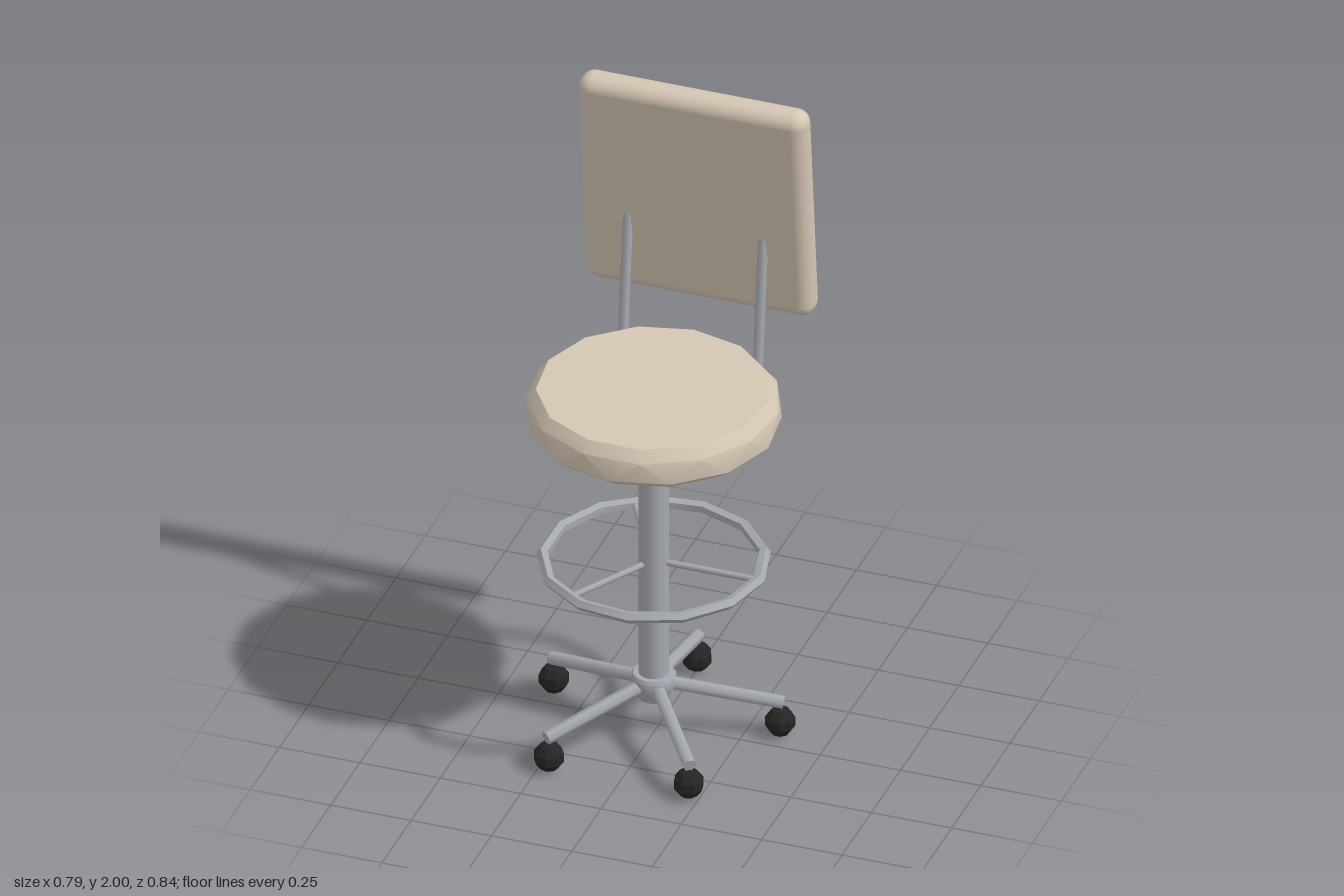
import * as THREE from 'three';
import { toCreasedNormals } from 'three/addons/utils/BufferGeometryUtils.js';
import { RoundedBoxGeometry } from 'three/addons/geometries/RoundedBoxGeometry.js';
import { ConvexGeometry } from 'three/addons/geometries/ConvexGeometry.js';

const AXIS_Z = 0.048; // the column stands slightly ahead of the origin

function material(name, color) {
  const m = new THREE.MeshStandardMaterial({ color });
  m.name = name;
  return m;
}

export function createModel() {
  const fabric = material('beigeUpholstery', 0xd4c6b3);
  const metal = material('greyMetal', 0xa6a9b0);
  const rubber = material('blackRubber', 0x242526);

  const model = new THREE.Group();
  model.name = 'stool';
  const swivel = new THREE.Group(); // everything centred on the column
  swivel.name = 'columnAssembly';
  swivel.position.z = AXIS_Z;
  model.add(swivel);

  const add = (parent, name, geometry, mat) => {
    const mesh = new THREE.Mesh(geometry, mat);
    mesh.name = name;
    parent.add(mesh);
    return mesh;
  };
  // Straight rod between two points
  const rod = (parent, name, a, b, radius, sides) => {
    const dir = b.clone().sub(a);
    const geo = new THREE.CylinderGeometry(radius, radius, dir.length(), sides);
    const mesh = add(parent, name, geo, metal);
    mesh.position.copy(a).add(b).multiplyScalar(0.5);
    mesh.quaternion.setFromUnitVectors(new THREE.Vector3(0, 1, 0), dir.normalize());
    return mesh;
  };
  const polar = (angle, r, y) => new THREE.Vector3(Math.sin(angle) * r, y, Math.cos(angle) * r);

  // Five legs with ball casters
  for (let i = 0; i < 5; i++) {
    const a = Math.PI + (i * 2 * Math.PI) / 5;
    rod(swivel, 'baseLeg', polar(a, 0.03, 0.178), polar(a, 0.38, 0.112), 0.021, 6);
    const ball = new THREE.SphereGeometry(0.047, 8, 5).toNonIndexed();
    ball.computeVertexNormals();
    const caster = add(swivel, 'caster', ball, rubber);
    caster.position.copy(polar(a, 0.37, 0.047));
    caster.rotation.y = a;
  }

  // Hub and column
  const hubProfile = [[0, 0.12], [0.045, 0.125], [0.062, 0.165], [0.068, 0.2], [0.062, 0.21], [0, 0.21]]
    .map(([r, y]) => new THREE.Vector2(r, y));
  add(swivel, 'hub', toCreasedNormals(new THREE.LatheGeometry(hubProfile, 12), 0.7), metal);
  rod(swivel, 'column', new THREE.Vector3(0, 0.2, 0), new THREE.Vector3(0, 1.07, 0), 0.045, 16);

  // Foot ring with three spokes
  const ring = add(swivel, 'footRing', toCreasedNormals(new THREE.TorusGeometry(0.327, 0.018, 5, 13), 0.7), metal);
  ring.rotation.x = Math.PI / 2;
  ring.position.y = 0.593;
  for (let i = 0; i < 3; i++) {
    const a = Math.PI / 2 + (i * 2 * Math.PI) / 3;
    rod(swivel, 'footRingSpoke', polar(a, 0.03, 0.593), polar(a, 0.325, 0.593), 0.01, 6);
  }

  // Faceted round seat: hull of four rings, the upper ones turned half a step
  const seatPoints = [];
  const sides = 13;
  for (const [y, r, turn] of [[1.05, 0.335, 0], [1.082, 0.375, 0], [1.15, 0.373, 0.5], [1.184, 0.345, 0.5]]) {
    for (let i = 0; i < sides; i++) {
      seatPoints.push(polar(((i + turn) * 2 * Math.PI) / sides, r, y));
    }
  }
  add(swivel, 'seat', toCreasedNormals(new ConvexGeometry(seatPoints), 0.6), fabric);

  // Two rods carrying the backrest
  for (const side of [-1, 1]) {
    rod(model, 'backrestSupport', new THREE.Vector3(side * 0.21, 1.11, -0.265),
      new THREE.Vector3(side * 0.21, 1.545, -0.312), 0.016, 8);
  }

  // Leaning backrest cushion
  const back = add(model, 'backrest', new RoundedBoxGeometry(0.71, 0.732, 0.094, 3, 0.042), fabric);
  back.position.set(0, 1.634, -0.336);
  back.rotation.x = 0.1;

  return model;
}
